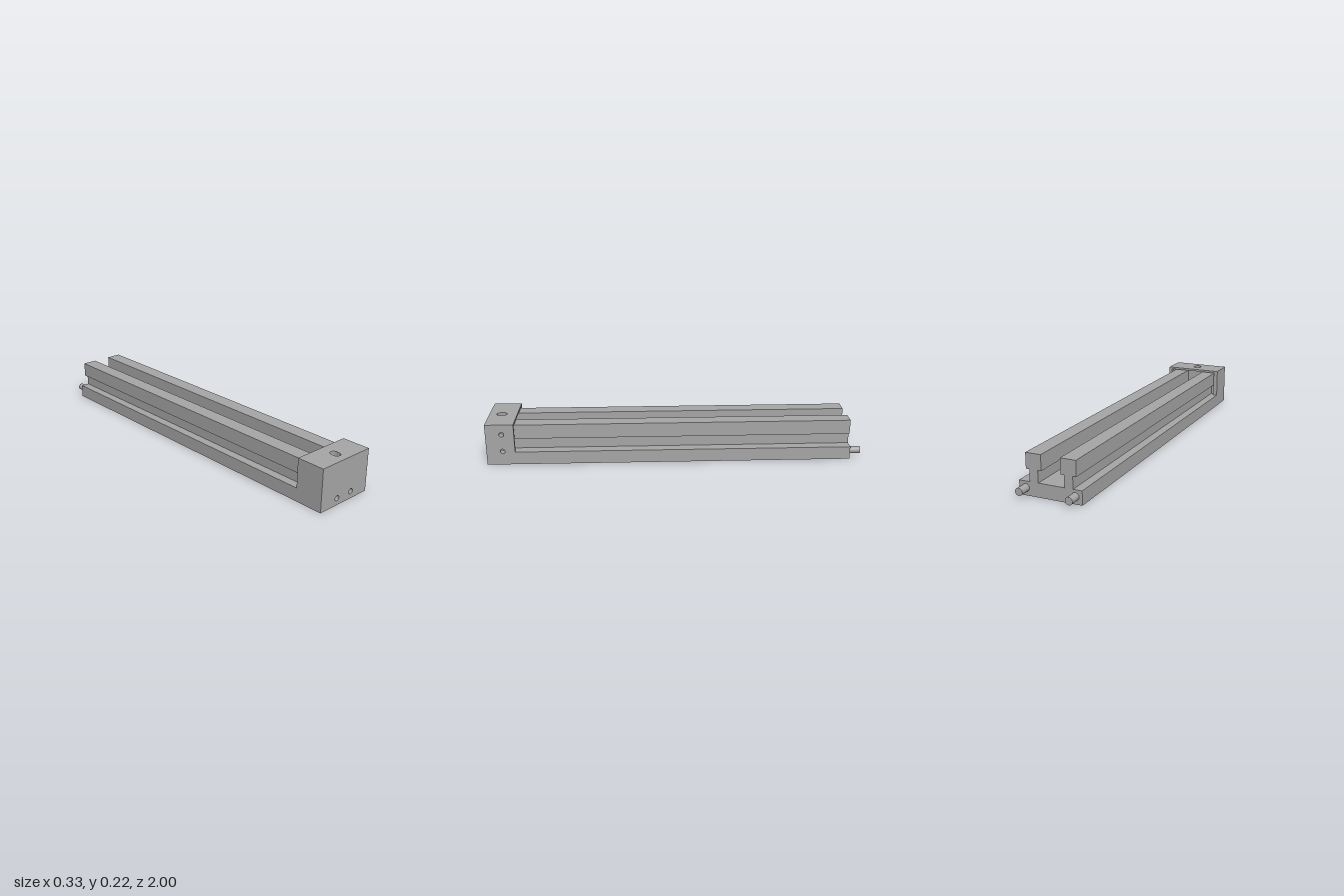
import * as THREE from 'three';

const steel = new THREE.MeshStandardMaterial({ color: 0xa6a6a6 });
steel.name = 'grey metal';

function rect(x0, y0, x1, y1, Type = THREE.Shape) {
  const s = new Type();
  s.moveTo(x0, y0); s.lineTo(x1, y0); s.lineTo(x1, y1); s.lineTo(x0, y1); s.closePath();
  return s;
}

function circle(x, y, r) {
  return new THREE.Path().absarc(x, y, r, 0, Math.PI * 2, true);
}

// Extrude a shape between two positions along the chosen axis
function extrude(name, shape, from, to, axis = 'z') {
  const geo = new THREE.ExtrudeGeometry(shape, { depth: to - from, bevelEnabled: false, curveSegments: 24 });
  geo.translate(0, 0, from);
  if (axis === 'x') geo.rotateY(Math.PI / 2);  // shape x becomes -z
  if (axis === 'y') geo.rotateX(-Math.PI / 2); // shape y becomes -z
  const mesh = new THREE.Mesh(geo, steel);
  mesh.name = name;
  return mesh;
}

export function createModel() {
  const model = new THREE.Group();
  model.name = 'slideRail';
  const W = 0.163, H = 0.225, back = -0.94, face = 0.85, pocketEnd = 0.88, core = 0.97;

  // Flat base of the rail
  model.add(extrude('railBase', rect(-W, 0, W, 0.07), back, face));

  // Two T-shaped rails whose ends sit in the pocket of the end block
  for (const [name, x0, x1] of [['rightRail', -0.135, -0.055], ['leftRail', 0.044, 0.124]]) {
    const inset = 0.018;
    const profile = new THREE.Shape([
      [x0 + inset, 0.07], [x1 - inset, 0.07], [x1 - inset, 0.13], [x1, 0.13],
      [x1, 0.208], [x0, 0.208], [x0, 0.13], [x0 + inset, 0.13],
    ].map(([x, y]) => new THREE.Vector2(x, y)));
    model.add(extrude(name, profile, back, pocketEnd));
  }

  // Locating pins at the back
  for (const side of [-1, 1]) {
    const geo = new THREE.CylinderGeometry(0.019, 0.019, 0.08, 32);
    geo.rotateX(Math.PI / 2);
    const pin = new THREE.Mesh(geo, steel);
    pin.name = side > 0 ? 'leftPin' : 'rightPin';
    pin.position.set(side * 0.128, 0.038, -0.96);
    model.add(pin);
  }

  // End block, built in layers so that each drilled hole is open
  const block = new THREE.Group();
  block.name = 'endBlock';
  model.add(block);

  const pocketFrame = rect(-W, 0, W, H);
  pocketFrame.holes.push(rect(-0.14, 0.07, 0.147, 0.213, THREE.Path));
  block.add(extrude('pocketFrame', pocketFrame, face, pocketEnd));

  const frontPlate = rect(-W, 0, W, H);
  for (const x of [-0.05, 0.05]) frontPlate.holes.push(circle(x, 0.037, 0.014));
  block.add(extrude('frontPlate', frontPlate, core, 1));

  const sidePlate = rect(-core, 0, -pocketEnd, H);
  for (const y of [0.075, 0.17]) sidePlate.holes.push(circle(-0.915, y, 0.013));
  block.add(extrude('sidePlate', sidePlate, 0.123, W, 'x'));

  // Core with a vertical slot and a round counterbore below
  const slotted = rect(-W, -core, 0.123, -pocketEnd);
  const slot = new THREE.Path();
  slot.absarc(0, -0.925, 0.02, 0, Math.PI, false);
  slot.absarc(0, -0.94, 0.02, Math.PI, Math.PI * 2, false);
  slot.closePath();
  slotted.holes.push(slot);
  block.add(extrude('slottedCore', slotted, 0.03, H, 'y'));

  const counterbore = rect(-W, -core, 0.123, -pocketEnd);
  counterbore.holes.push(circle(0, -0.932, 0.034));
  block.add(extrude('counterbore', counterbore, 0, 0.03, 'y'));

  return model;
}
